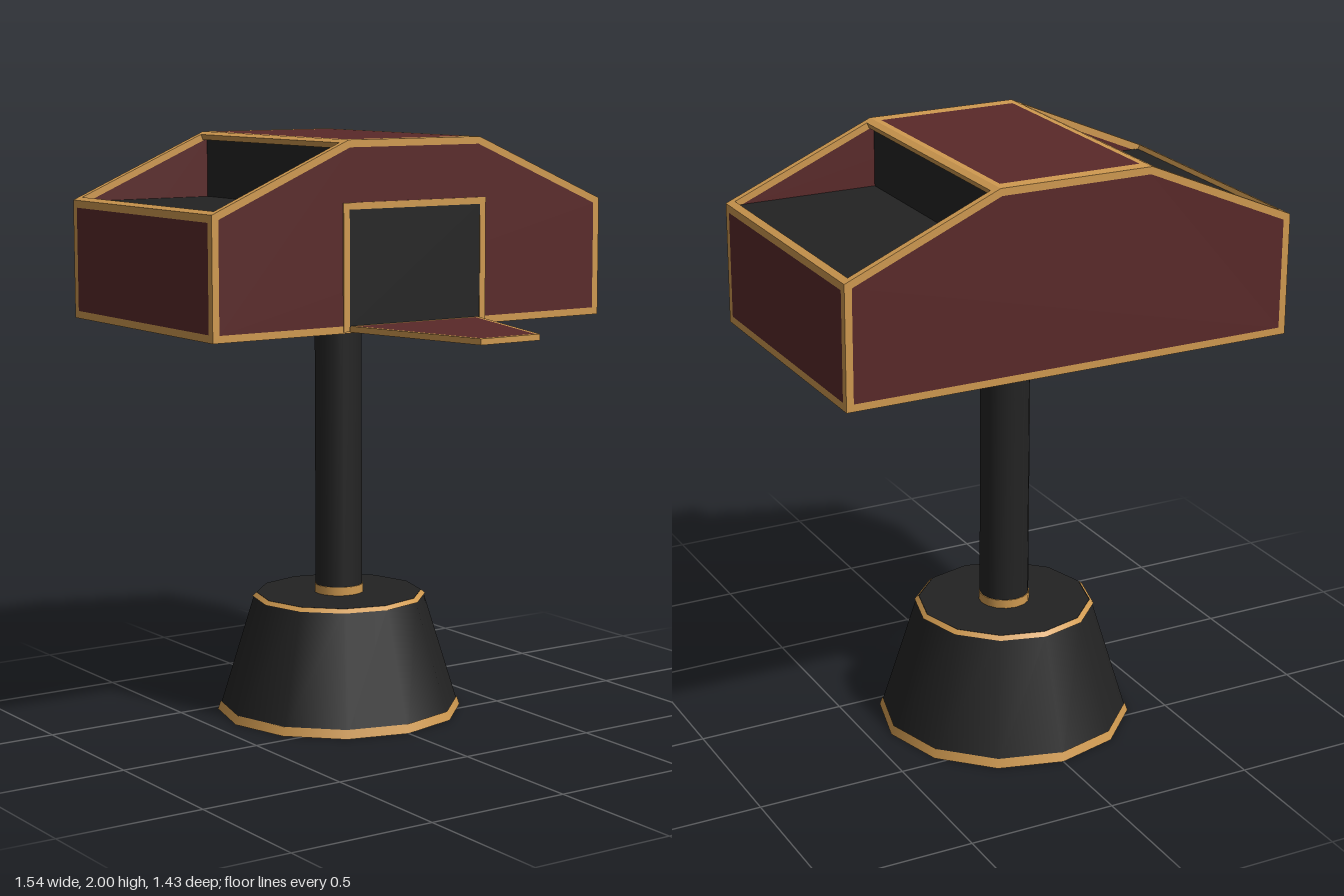
import * as THREE from 'three';

const mat = (color) => new THREE.MeshStandardMaterial({ color });
const RED = mat(0x5a2929), GOLD = mat(0xd09a50), DARK = mat(0x232323);
const T = 0.02;                       // panel thickness
const Z0 = -0.715, Z1 = 0.2, ZC = (Z0 + Z1) / 2, DEPTH = Z1 - Z0;

const rect = (w, h) => [[-w / 2, -h / 2], [w / 2, -h / 2], [w / 2, h / 2], [-w / 2, h / 2]];
const toShape = (pts) => new THREE.Shape(pts.map(([x, y]) => new THREE.Vector2(x, y)));

// Moves every edge of a convex counter-clockwise outline inwards
function inset(pts, d) {
  const n = pts.length;
  const normal = (a, b) => {
    const l = Math.hypot(b[0] - a[0], b[1] - a[1]);
    return [-(b[1] - a[1]) / l, (b[0] - a[0]) / l];
  };
  return pts.map((p, i) => {
    const a = normal(pts[(i + n - 1) % n], p), b = normal(p, pts[(i + 1) % n]);
    const k = d / (1 + a[0] * b[0] + a[1] * b[1]);
    return [p[0] + k * (a[0] + b[0]), p[1] + k * (a[1] + b[1])];
  });
}

function extrude(name, shape, depth, material) {
  const mesh = new THREE.Mesh(new THREE.ExtrudeGeometry(shape, { depth, bevelEnabled: false }), material);
  mesh.name = name;
  return mesh;
}

// Trim frame, with an optional filling, lying in the XY plane and growing to +z
function panel(name, outer, inner, fill) {
  const g = new THREE.Group();
  g.name = name;
  const frame = toShape(outer);
  frame.holes.push(new THREE.Path(inner.map(([x, y]) => new THREE.Vector2(x, y))));
  g.add(extrude('trim', frame, T, GOLD));
  if (fill) g.add(extrude('infill', toShape(inner), T, fill));
  return g;
}

function box(name, w, h, d, x, y, z, material) {
  const m = new THREE.Mesh(new THREE.BoxGeometry(w, h, d), material);
  m.name = name;
  m.position.set(x, y, z);
  return m;
}

function drum(name, rTop, rBottom, y0, y1, sides, material, open = false) {
  const m = new THREE.Mesh(new THREE.CylinderGeometry(rTop, rBottom, y1 - y0, sides, 1, open), material);
  m.name = name;
  m.position.set(0, (y0 + y1) / 2, ZC);
  return m;
}

export function createModel() {
  const model = new THREE.Group();
  model.name = 'houseOnPost';

  // Tapered base with trim rings
  model.add(
    drum('base', 0.296, 0.42, 0, 0.406, 12, DARK),
    drum('baseBottomTrim', 0.415, 0.425, 0, 0.03, 12, GOLD, true),
    drum('baseTopTrim', 0.288, 0.302, 0.403, 0.416, 12, GOLD, true),
    drum('baseTop', 0.287, 0.287, 0.4, 0.416, 12, DARK),
  );

  // Post and its collars
  model.add(
    drum('post', 0.082, 0.082, 0.41, 1.385, 16, DARK),
    drum('lowerCollar', 0.085, 0.085, 0.416, 0.445, 16, GOLD),
    drum('upperCollar', 0.085, 0.085, 1.358, 1.385, 16, GOLD),
  );

  // Front and back walls
  const gable = [[-0.77, 1.38], [0.77, 1.38], [0.77, 1.78], [0.26, 2], [-0.26, 2], [-0.77, 1.78]];
  for (const [name, z] of [['frontWall', Z1 - T], ['backWall', Z0]]) {
    const wall = panel(name, gable, inset(gable, 0.024), RED);
    wall.position.z = z;
    model.add(wall);
  }

  // Doorway with its frame
  const doorFrame = toShape([[-0.283, 1.385], [-0.26, 1.385], [-0.26, 1.778], [0.26, 1.778],
    [0.26, 1.385], [0.283, 1.385], [0.283, 1.8], [-0.283, 1.8]]);
  const frame = extrude('doorFrame', doorFrame, T, GOLD);
  frame.position.z = Z1 - T + 0.004;
  model.add(frame, box('door', 0.52, 0.378, T, 0, 1.589, Z1 - T / 2 + 0.002, DARK));

  // Underside
  const under = rect(1.54, DEPTH);
  const floor = panel('underside', under, inset(under, 0.015), RED);
  floor.rotation.x = -Math.PI / 2;
  floor.position.set(0, 1.38, ZC);
  model.add(floor);

  // Flat roof
  const roof = panel('roof', rect(0.52, DEPTH), rect(0.48, DEPTH - 0.09), RED);
  roof.rotation.x = -Math.PI / 2;
  roof.position.set(0, 2 - T, ZC);
  model.add(roof);

  // Side walls, open sloping frames and the recesses below them
  const slopeAngle = Math.atan2(0.22, 0.51);
  const slope = rect(Math.hypot(0.22, 0.51), DEPTH);
  const side = rect(DEPTH, 0.4);
  for (const s of [1, -1]) {
    const label = s > 0 ? 'left' : 'right';

    const wall = panel(label + 'Wall', side, inset(side, 0.025), RED);
    wall.rotation.y = s * Math.PI / 2;
    wall.position.set(s * (0.77 - T), 1.58, ZC);
    model.add(wall);

    const rim = panel(label + 'SlopeFrame', slope, inset(slope, 0.024));
    rim.rotation.x = -Math.PI / 2;
    rim.position.y = -T;
    const tilt = new THREE.Group();
    tilt.name = label + 'Slope';
    tilt.rotation.z = -s * slopeAngle;
    tilt.position.set(s * 0.515, 1.89, ZC);
    tilt.add(rim);
    model.add(tilt);

    model.add(
      box(label + 'RecessFloor', 0.52, 0.02, DEPTH - 0.03, s * 0.5, 1.765, ZC, DARK),
      box(label + 'RecessWall', 0.02, 0.22, DEPTH - 0.03, s * 0.245, 1.872, ZC, DARK),
    );
  }

  // Landing ramp, narrowing to the front
  const rampOutline = [[-0.115, -0.715], [0.115, -0.715], [0.255, -0.2], [-0.255, -0.2]];
  const ramp = panel('ramp', rampOutline, inset(rampOutline, 0.014), RED);
  ramp.rotation.x = -Math.PI / 2;
  ramp.position.y = 1.383;
  model.add(ramp);

  return model;
}
